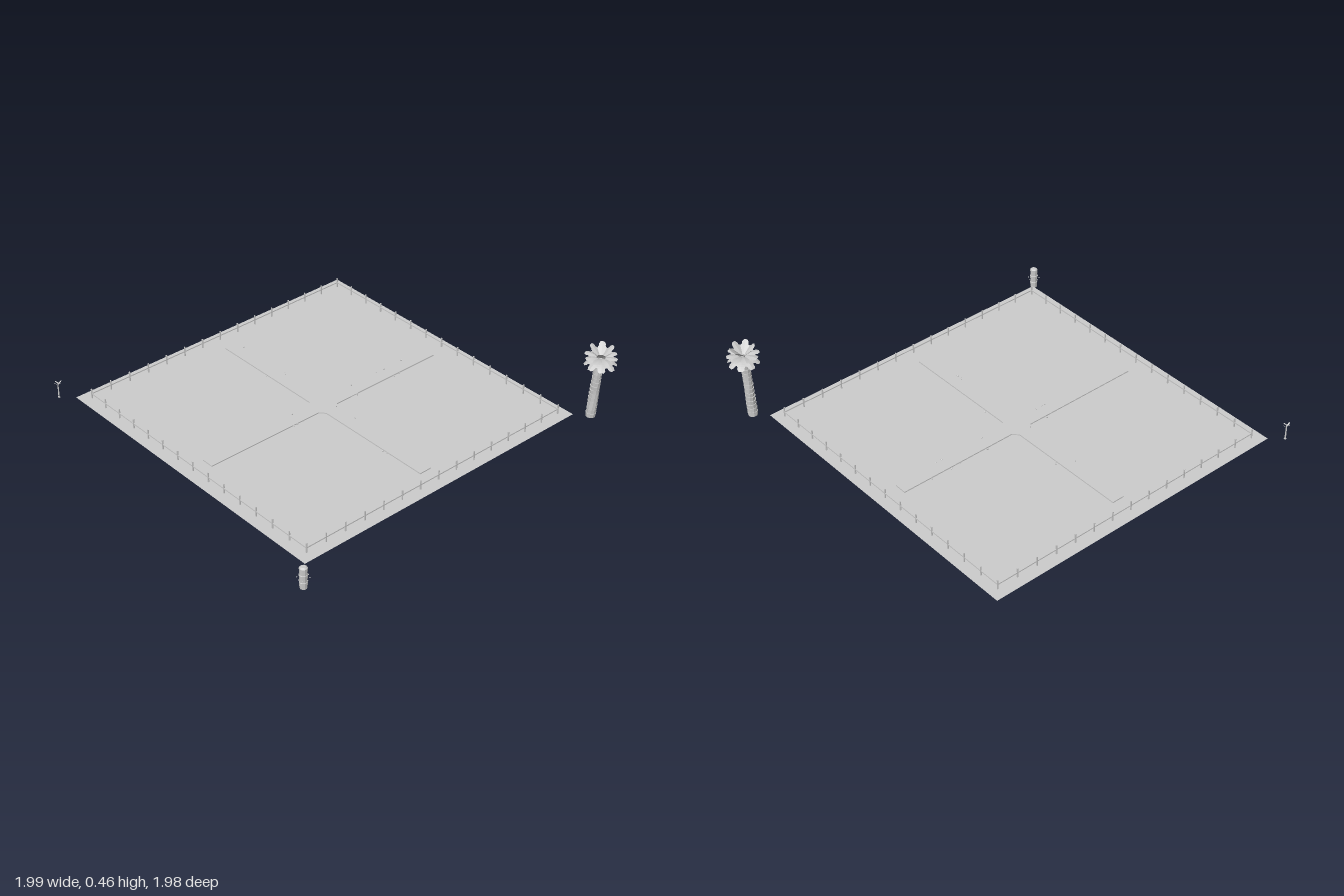
import * as THREE from 'three';

const material = new THREE.MeshStandardMaterial({ color: 0xcccccc, flatShading: true, side: THREE.DoubleSide });
const GROUND = 0.06;
const CX = -0.047, CZ = 0.02; // middle of the garden

function add(parent, name, geometry, x = 0, y = 0, z = 0) {
  const mesh = new THREE.Mesh(geometry, material);
  mesh.name = name;
  mesh.position.set(x, y, z);
  parent.add(mesh);
  return mesh;
}

function group(parent, name, x = 0, y = 0, z = 0) {
  const g = new THREE.Group();
  g.name = name;
  g.position.set(x, y, z);
  parent.add(g);
  return g;
}

// Serrated leaf along +x, arching by the given rise and droop
function leafGeometry(length, width, rise, droop, steps = 8) {
  const pos = [], index = [];
  for (let i = 0; i <= steps; i++) {
    const t = i / steps;
    const tooth = i % 2 ? 1 : 0.8;
    const w = width * (0.2 + 0.8 * Math.sin(Math.PI * Math.min(1, 0.1 + t * 0.78))) * tooth;
    const y = rise * t - droop * t * t;
    pos.push(length * t, y - w * 0.2, -w, length * t, y, 0, length * t, y - w * 0.2, w);
    if (i < steps) {
      const a = i * 3;
      for (const k of [a, a + 1]) index.push(k, k + 1, k + 3, k + 1, k + 4, k + 3);
    }
  }
  const g = new THREE.BufferGeometry();
  g.setAttribute('position', new THREE.Float32BufferAttribute(pos, 3));
  g.setIndex(index);
  g.computeVertexNormals();
  return g;
}

function leafRing(parent, name, count, geometry, y, turn = 0) {
  for (let i = 0; i < count; i++) {
    add(parent, name, geometry, 0, y, 0).rotation.y = turn + (i / count) * Math.PI * 2;
  }
}

function buildFence(parent) {
  const fence = group(parent, 'fence');
  const x0 = -0.864, x1 = 0.768, z0 = -0.8, z1 = 0.835, bays = 14;
  const post = new THREE.BoxGeometry(0.006, 0.056, 0.006);
  for (let i = 0; i < bays; i++) {
    const x = x0 + ((x1 - x0) * i) / bays, z = z0 + ((z1 - z0) * i) / bays;
    const py = GROUND + 0.025;
    add(fence, 'fencePost', post, x, py, z0);
    add(fence, 'fencePost', post, x1, py, z);
    add(fence, 'fencePost', post, x1 + x0 - x, py, z1);
    add(fence, 'fencePost', post, x0, py, z1 + z0 - z);
  }
  const railX = new THREE.BoxGeometry(x1 - x0, 0.006, 0.004);
  const railZ = new THREE.BoxGeometry(0.004, 0.006, z1 - z0);
  for (const z of [z0, z1]) add(fence, 'fenceRail', railX, (x0 + x1) / 2, 0.087, z);
  for (const x of [x0, x1]) add(fence, 'fenceRail', railZ, x, 0.087, (z0 + z1) / 2);
}

// Cross of four arms with a chamfered crossing
function buildPath(parent) {
  const half = 0.034, chamfer = 0.062, reach = 0.73;
  const arm = [[reach, -half], [reach, half], [chamfer, half], [half, chamfer]];
  const points = [];
  for (let k = 0; k < 4; k++) {
    for (const [x, y] of arm) {
      points.push(new THREE.Vector2(x, y).rotateAround(new THREE.Vector2(), (k * Math.PI) / 2));
    }
  }
  const slab = new THREE.ExtrudeGeometry(new THREE.Shape(points), { depth: 0.006, bevelEnabled: false });
  slab.rotateX(-Math.PI / 2);
  add(parent, 'crossPath', slab, CX, GROUND, CZ);

  // Pebbles beside the path
  const pebble = new THREE.IcosahedronGeometry(0.005, 0);
  const spots = [[-0.09, -0.55], [-0.09, -0.43], [-0.09, -0.375], [-0.09, -0.205], [-0.09, 0.185],
    [-0.007, -0.46], [-0.007, -0.425], [-0.007, -0.17], [-0.007, 0.185], [-0.007, 0.222], [-0.007, 0.243],
    [-0.72, -0.025], [-0.39, -0.025], [0.14, -0.025], [-0.435, 0.06], [0.43, 0.06], [0.46, 0.06]];
  spots.forEach(([x, z], i) => {
    add(parent, 'pebble', pebble, x, GROUND + 0.004, z).scale.setScalar(i % 3 === 2 ? 0.7 : 1);
  });
}

function buildPalm(parent) {
  const palm = group(parent, 'palmTree', 0.886, GROUND, -0.91);
  const segments = 14, height = 0.325;
  // Leaning trunk of flared, stacked sections
  for (let i = 0; i < segments; i++) {
    const t = i / segments, r = 0.027 - 0.004 * t;
    const section = new THREE.CylinderGeometry(r, r * 0.92, height / segments + 0.002, 10);
    const m = add(palm, 'trunkSection', section, 0.022 * t, (i + 0.5) * height / segments, -0.004 * t);
    m.rotation.set(0.03 * Math.sin(i * 2.1), i * 0.7, -0.06);
  }
  const crown = group(palm, 'palmCrown', 0.028, 0.335, -0.005);
  add(crown, 'crownHeart', new THREE.IcosahedronGeometry(0.022, 0));
  leafRing(crown, 'lowerFrond', 8, leafGeometry(0.08, 0.026, 0.035, 0.055), -0.005);
  leafRing(crown, 'middleFrond', 8, leafGeometry(0.082, 0.026, 0.045, 0.03), 0.008, 0.4);
  leafRing(crown, 'upperFrond', 6, leafGeometry(0.062, 0.024, 0.075, 0.012), 0.006, 0.15);
}

function buildStump(parent) {
  const stump = group(parent, 'stump', 0.886, 0, 0.955);
  const profile = [[0, 0], [0.018, 0], [0.02, 0.035], [0.018, 0.037], [0.021, 0.075],
    [0.019, 0.077], [0.02, 0.112], [0.012, 0.118], [0, 0.118]];
  add(stump, 'stumpTrunk', new THREE.LatheGeometry(profile.map(p => new THREE.Vector2(...p)), 10));
  const bud = new THREE.IcosahedronGeometry(0.003, 0);
  for (let i = 0; i < 8; i++) {
    const a = (i / 8) * Math.PI * 2;
    add(stump, 'stumpPebble', bud, 0.029 * Math.cos(a), 0.058, 0.029 * Math.sin(a));
  }
}

function buildSapling(parent) {
  const sapling = group(parent, 'sapling', -0.978, GROUND, 0.955);
  add(sapling, 'saplingStem', new THREE.CylinderGeometry(0.003, 0.004, 0.088, 6), 0, 0.046, 0);
  add(sapling, 'saplingFoot', new THREE.CylinderGeometry(0.005, 0.007, 0.005, 6), 0, 0.004, 0);
  const long = leafGeometry(0.022, 0.005, 0.022, 0.006, 4);
  const short = leafGeometry(0.017, 0.004, 0.012, 0.006, 4);
  for (const s of [1, -1]) {
    add(sapling, 'saplingLeaf', long, 0, 0.076, 0).rotation.y = (s * Math.PI) / 2;
    add(sapling, 'saplingLeaf', short, 0, 0.085, 0).rotation.y = s > 0 ? 0.3 : Math.PI + 0.3;
  }
}

export function createModel() {
  const model = new THREE.Group();
  model.name = 'fencedGarden';
  const lawn = new THREE.PlaneGeometry(1.744, 1.744).rotateX(-Math.PI / 2);
  add(model, 'lawn', lawn, -0.049, GROUND, CZ);
  buildFence(model);
  buildPath(model);
  buildPalm(model);
  buildStump(model);
  buildSapling(model);
  return model;
}
